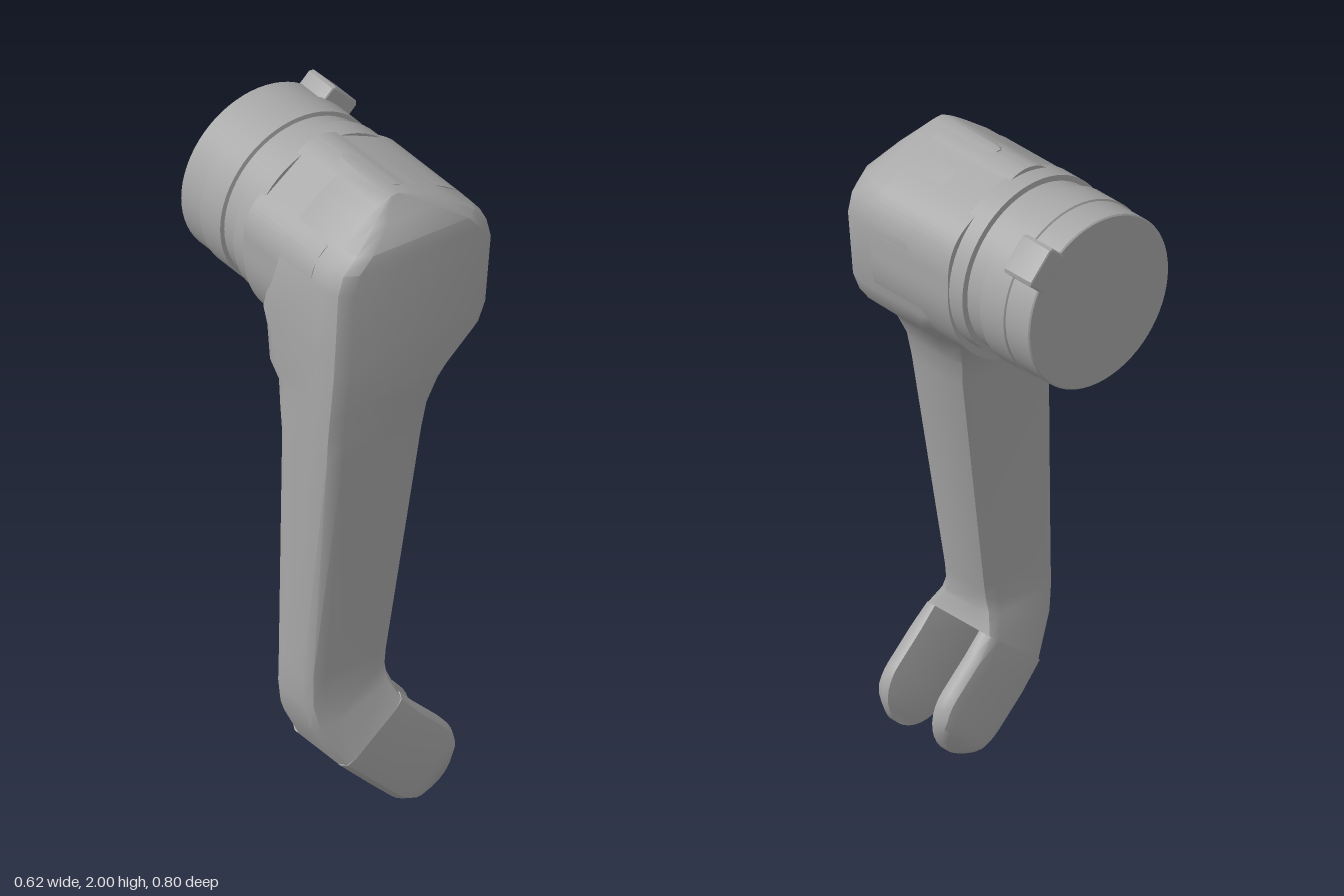
import * as THREE from 'three';
import { toCreasedNormals } from 'three/addons/utils/BufferGeometryUtils.js';

const grey = new THREE.MeshStandardMaterial({ color: 0xa6a6a6 });
grey.name = 'grey plastic';

function add(group, name, geometry) {
  const mesh = new THREE.Mesh(geometry, grey);
  mesh.name = name;
  group.add(mesh);
  return mesh;
}

// Cross-section between two edge points; chamfers are [width, depth] pairs
function section({ left, right, front, back, frontCut, backCut }) {
  const w = Math.hypot(right[0] - left[0], right[1] - left[1]);
  const corner = (z, [c, d]) => [[0, z - d], [c * 0.3, z - d * 0.3], [c, z]];
  const mirror = (pts) => pts.map(([t, z]) => [w - t, z]).reverse();
  const f = corner(front, frontCut);
  const b = corner(back, [backCut[0], -backCut[1]]);
  return [...f, ...mirror(f), ...mirror(b).reverse(), ...b.reverse()].map(([t, z]) => [
    left[0] + (right[0] - left[0]) * t / w, left[1] + (right[1] - left[1]) * t / w, z,
  ]);
}

// Skin a run of cross-sections, listed from the bottom up, and close both ends
function loft(stations) {
  const rings = stations.map(section);
  const n = rings[0].length;
  const last = (rings.length - 1) * n;
  const index = [];
  for (let r = 0; r < last; r += n) {
    for (let i = 0; i < n; i++) {
      const a = r + i, b = r + (i + 1) % n;
      index.push(a, b, b + n, a, b + n, a + n);
    }
  }
  for (let i = 1; i < n - 1; i++) index.push(0, i + 1, i, last, last + i, last + i + 1);
  const g = new THREE.BufferGeometry();
  g.setAttribute('position', new THREE.Float32BufferAttribute(rings.flat(2), 3));
  g.setIndex(index);
  return toCreasedNormals(g, 0.65);
}

// Arm levels: height, left x, right x, front z, back z
const armLevels = [
  [0.28, -0.225, -0.02, 0.39, 0.11],
  [0.37, -0.295, -0.036, 0.355, 0.135],
  [0.43, -0.311, -0.033, 0.338, 0.145],
  [0.50, -0.309, -0.026, 0.335, 0.145],
  [1.22, -0.281, 0.078, 0.37, 0.122],
  [1.30, -0.278, 0.095, 0.373, 0.105],
  [1.37, -0.274, 0.13, 0.377, 0.072],
  [1.41, -0.272, 0.16, 0.38, 0.015],
  [1.51, -0.265, 0.266, 0.384, 0],
  [1.57, -0.262, 0.29, 0.385, 0],
  [1.78, -0.25, 0.31, 0.384, 0.05],
  [1.84, -0.23, 0.297, 0.382, 0.05],
  [1.885, -0.18, 0.26, 0.378, 0.05],
  [1.945, -0.10, 0.165, 0.342, 0.05],
  [1.98, -0.05, 0.075, 0.315, 0.05],
  [2, -0.012, 0.022, 0.30, 0.05],
];

// Levels tilt below the bend; chamfers deepen at the head and round off the neck behind
function armStation([y, x0, x1, front, back]) {
  const tilt = Math.max(0, 0.5 - y) * 0.38;
  const limit = 0.2 * (x1 - x0);
  const depth = 0.04 + 0.04 * THREE.MathUtils.smoothstep(y, 0.5, 1.5);
  const neck = 0.05 + 0.08 * Math.exp(-(((y - 1.44) / 0.085) ** 2));
  return {
    left: [x0, y - tilt], right: [x1, y + tilt], front, back,
    frontCut: [Math.min(0.055, limit), Math.min(depth, front - 0.295)],
    backCut: [Math.min(neck, y > 1.3 ? neck : limit, Math.max(limit, 0.01)), neck],
  };
}

// Fork tine levels: a round tip about the hinge, then straight sides up to the arm
function tineStations() {
  const hinge = [0.03, 0.13], radius = 0.13;
  const at = (s, half, drop, cut) => {
    const x = hinge[0] + 0.72 * s, y = hinge[1] - 0.69 * s;
    return {
      left: [x - 0.69 * half, y - 0.72 * half], right: [x + 0.69 * half, y + 0.72 * half],
      front: 0.40 - drop, back: 0.10 + drop, frontCut: [cut, 0.035], backCut: [cut, 0.035],
    };
  };
  const stations = [];
  for (let i = 0; i <= 8; i++) {
    const a = (1 - i / 8) * 1.52;
    const s = radius * Math.sin(a);
    stations.push(at(s, radius * Math.cos(a), 0.6 * Math.max(0, s - 0.08), 0.05 * Math.cos(a)));
  }
  return [...stations, at(-0.12, radius, 0, 0.05), armStation(armLevels[0])];
}

export function createModel() {
  const model = new THREE.Group();
  model.name = 'jointed limb';

  // Arm, from the fork floor past the bend up to the pitched top
  add(model, 'arm', loft(armLevels.map(armStation)));

  // Fork tines, square on the slot side
  const tines = tineStations();
  const square = [0.004, 0.004];
  add(model, 'frontTine', loft(tines.map((s) => ({ ...s, back: 0.34, backCut: square, frontCut: [s.frontCut[0], 0.03] }))));
  add(model, 'backTine', loft(tines.map((s) => ({ ...s, front: 0.16, frontCut: square, backCut: [s.backCut[0], 0.03] }))));

  // Shoulder housing: pitched top over a round underside
  const outline = new THREE.Shape();
  outline.moveTo(0.31, 1.76);
  outline.quadraticCurveTo(0.308, 1.84, 0.26, 1.885);
  outline.quadraticCurveTo(0.21, 1.93, 0.075, 1.98);
  outline.quadraticCurveTo(0.01, 2.015, -0.05, 1.98);
  outline.lineTo(-0.20, 1.87);
  outline.quadraticCurveTo(-0.25, 1.83, -0.25, 1.76);
  outline.lineTo(-0.25, 1.70);
  outline.absellipse(0.03, 1.70, 0.28, 0.30, Math.PI, Math.PI * 2, false, 0);
  const housing = new THREE.ExtrudeGeometry(outline, { depth: 0.32, bevelEnabled: false, curveSegments: 24 });
  housing.translate(0, 0, -0.07);
  add(model, 'shoulderHousing', toCreasedNormals(housing, 0.6));

  // Stepped round collar with a closed flat end
  const steps = [
    [0, 0], [0.276, 0], [0.276, 0.075], [0.26, 0.078], [0.26, 0.14],
    [0.272, 0.143], [0.272, 0.24], [0.267, 0.243], [0.267, 0.336], [0.263, 0.34], [0, 0.34],
  ];
  const lathe = new THREE.LatheGeometry(steps.map(([r, y]) => new THREE.Vector2(r, y)), 64);
  lathe.rotateX(-Math.PI / 2);
  const collar = add(model, 'collar', toCreasedNormals(lathe, 0.5));
  collar.position.set(0.03, 1.71, -0.05);

  // Locking tab with bevelled edges on the collar's upper left
  const tabShape = new THREE.Shape([
    [-0.062, 0.235], [0.062, 0.235], [0.062, 0.302], [0.052, 0.312], [-0.052, 0.312], [-0.062, 0.302],
  ].map(([x, y]) => new THREE.Vector2(x, y)));
  const tabGeometry = new THREE.ExtrudeGeometry(tabShape, {
    depth: 0.099, bevelThickness: 0.008, bevelSize: 0.006, bevelOffset: -0.006, bevelSegments: 2,
  });
  const tab = add(model, 'lockingTab', toCreasedNormals(tabGeometry, 0.5));
  tab.position.set(0.03, 1.71, -0.387);
  tab.rotation.z = -0.82;

  return model;
}
